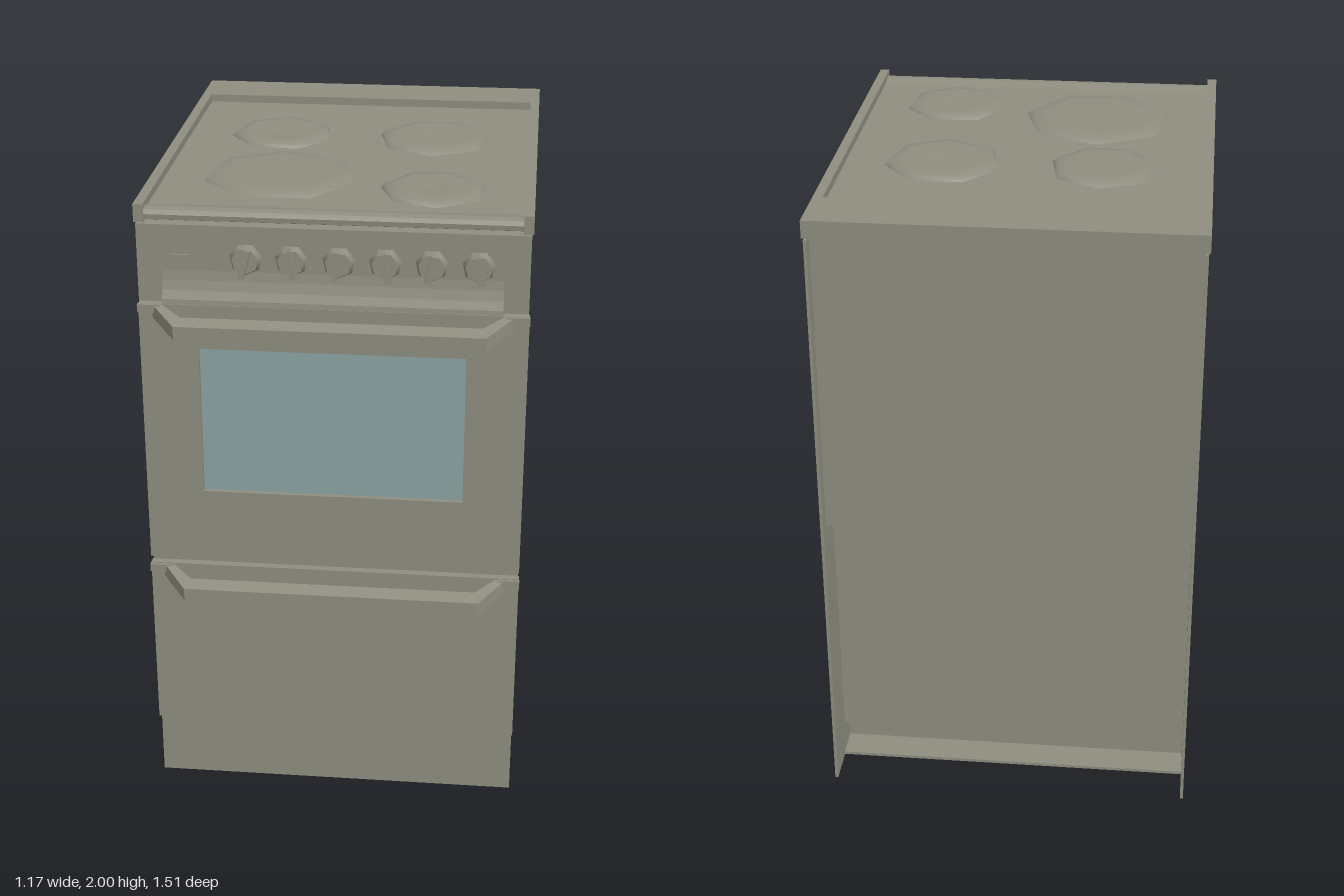
import * as THREE from 'three';

export function createModel() {
  const root = new THREE.Group();
  root.name = 'cooker';
  const enamel = new THREE.MeshStandardMaterial({ color: 0x8e8d7f });
  enamel.name = 'grey enamel';
  const glass = new THREE.MeshStandardMaterial({ color: 0x8ba3a3 });
  glass.name = 'oven glass';

  const add = (name, geo, mat = enamel) => {
    const mesh = new THREE.Mesh(geo, mat);
    mesh.name = name;
    root.add(mesh);
    return mesh;
  };
  // Box given by its extents on each axis
  const box = (name, x0, x1, y0, y1, z0, z1, mat) => {
    const g = new THREE.BoxGeometry(x1 - x0, y1 - y0, z1 - z0);
    g.translate((x0 + x1) / 2, (y0 + y1) / 2, (z0 + z1) / 2);
    return add(name, g, mat);
  };
  const shapeOf = (pts) => new THREE.Shape(pts.map(([x, y]) => new THREE.Vector2(x, y)));
  // Side profile of [z, y] points swept across x, from -w to w
  const sweep = (name, pts, w) => {
    const g = new THREE.ExtrudeGeometry(shapeOf(pts.map(([z, y]) => [-z, y])), { depth: 2 * w, bevelEnabled: false });
    g.rotateY(Math.PI / 2);
    g.translate(-w, 0, 0);
    return add(name, g);
  };

  // Carcass: side sheets, stepped back panels, kick space and floor
  for (const s of [-1, 1]) {
    const x = s * 0.575;
    box(s > 0 ? 'leftSide' : 'rightSide', x - 0.005, x + 0.005, 0, 1.94, -0.755, 0.62);
  }
  box('upperBody', -0.57, 0.57, 0.96, 1.94, -0.715, 0.62);
  box('lowerBody', -0.57, 0.57, 0.115, 0.96, -0.605, 0.62);
  box('plinth', -0.57, 0.57, 0.01, 0.115, -0.53, 0.62);
  box('floor', -0.57, 0.57, 0, 0.01, -0.63, 0.62);

  // Hob slab with a rounded front edge, framed by a raised rim
  sweep('hob', [[-0.755, 1.95], [0.63, 1.95], [0.643, 1.955], [0.645, 1.97],
    [0.635, 1.982], [0.61, 1.985], [0.56, 1.976], [-0.755, 1.974]], 0.58);
  box('backRim', -0.585, 0.585, 1.945, 2, -0.755, -0.57);
  for (const s of [-1, 1]) {
    const x = s * 0.57;
    box(s > 0 ? 'leftRim' : 'rightRim', x - 0.015, x + 0.015, 1.945, 2, -0.57, 0.645);
  }

  // Low seven-sided burner plates
  const burners = [[-0.25, -0.19, 0.17], [0.25, -0.18, 0.185], [-0.2, 0.26, 0.24], [0.28, 0.36, 0.165]];
  burners.forEach(([x, z, r], i) => {
    const profile = [[r, 0], [r * 0.93, 0.014], [r * 0.7, 0.02], [0, 0.012]].map(([a, b]) => new THREE.Vector2(a, b));
    const g = new THREE.LatheGeometry(profile, 7);
    g.rotateY(0.4 + i * 0.5);
    g.translate(x, 1.975, z);
    add('burner' + (i + 1), g);
  });

  // Control panel, sweeping outward at its lower edge
  box('controlPanel', -0.58, 0.58, 1.7, 1.94, 0.62, 0.643);
  sweep('panelFlare', [[0.63, 1.7], [0.668, 1.7], [0.666, 1.715], [0.655, 1.74],
    [0.647, 1.77], [0.643, 1.8], [0.63, 1.8]], 0.505);
  box('switch', -0.48, -0.425, 1.82, 1.85, 0.64, 0.65);

  // Knobs: faceted disc with an upright grip
  [-0.255, -0.12, 0.02, 0.157, 0.293, 0.43].forEach((x, i) => {
    const disc = new THREE.CylinderGeometry(0.04, 0.05, 0.024, 7);
    disc.rotateX(Math.PI / 2);
    const knob = new THREE.Group();
    knob.name = 'knob' + (i + 1);
    const base = new THREE.Mesh(disc, enamel);
    base.name = 'knobBase';
    const grip = new THREE.Mesh(new THREE.BoxGeometry(0.02, 0.088, 0.03), enamel);
    grip.name = 'knobGrip';
    grip.position.z = 0.025;
    grip.rotation.z = i % 2 ? 0.25 : -0.25;
    knob.add(base, grip);
    knob.position.set(x, 1.84, 0.653);
    root.add(knob);
  });

  // Oven door with a window opening, its glass set back
  const door = shapeOf([[-0.583, 0.83], [0.583, 0.83], [0.583, 1.69], [-0.583, 1.69]]);
  door.holes.push(new THREE.Path([[-0.405, 1.07], [-0.405, 1.55], [0.4, 1.55], [0.4, 1.07]]
    .map(([x, y]) => new THREE.Vector2(x, y))));
  const doorGeo = new THREE.ExtrudeGeometry(door, { depth: 0.025, bevelEnabled: false });
  doorGeo.translate(0, 0, 0.62);
  add('ovenDoor', doorGeo);
  box('ovenWindow', -0.405, 0.4, 1.07, 1.55, 0.622, 0.63, glass);
  box('drawerFront', -0.583, 0.583, 0.225, 0.808, 0.62, 0.645);

  // Handles: flared brackets and bar in plan, drooping toward the front
  const plan = [[-0.545, 0.64], [-0.46, 0.752], [0.46, 0.752], [0.545, 0.64],
    [0.515, 0.64], [0.447, 0.705], [-0.447, 0.705], [-0.515, 0.64]];
  for (const [name, top] of [['doorHandle', 1.69], ['drawerHandle', 0.805]]) {
    const g = new THREE.ExtrudeGeometry(shapeOf(plan.map(([x, z]) => [x, -z])), { depth: 0.042, bevelEnabled: false });
    g.rotateX(-Math.PI / 2);
    const p = g.attributes.position;
    for (let i = 0; i < p.count; i++) p.setY(i, p.getY(i) + top - 0.042 - (p.getZ(i) - 0.64) * 0.25);
    g.computeVertexNormals();
    add(name, g);
    // Small tabs where the brackets meet the front
    for (const s of [-1, 1]) box(name + 'Tab', s * 0.55 - 0.035, s * 0.55 + 0.035, top - 0.025, top, 0.64, 0.655);
  }
  return root;
}
